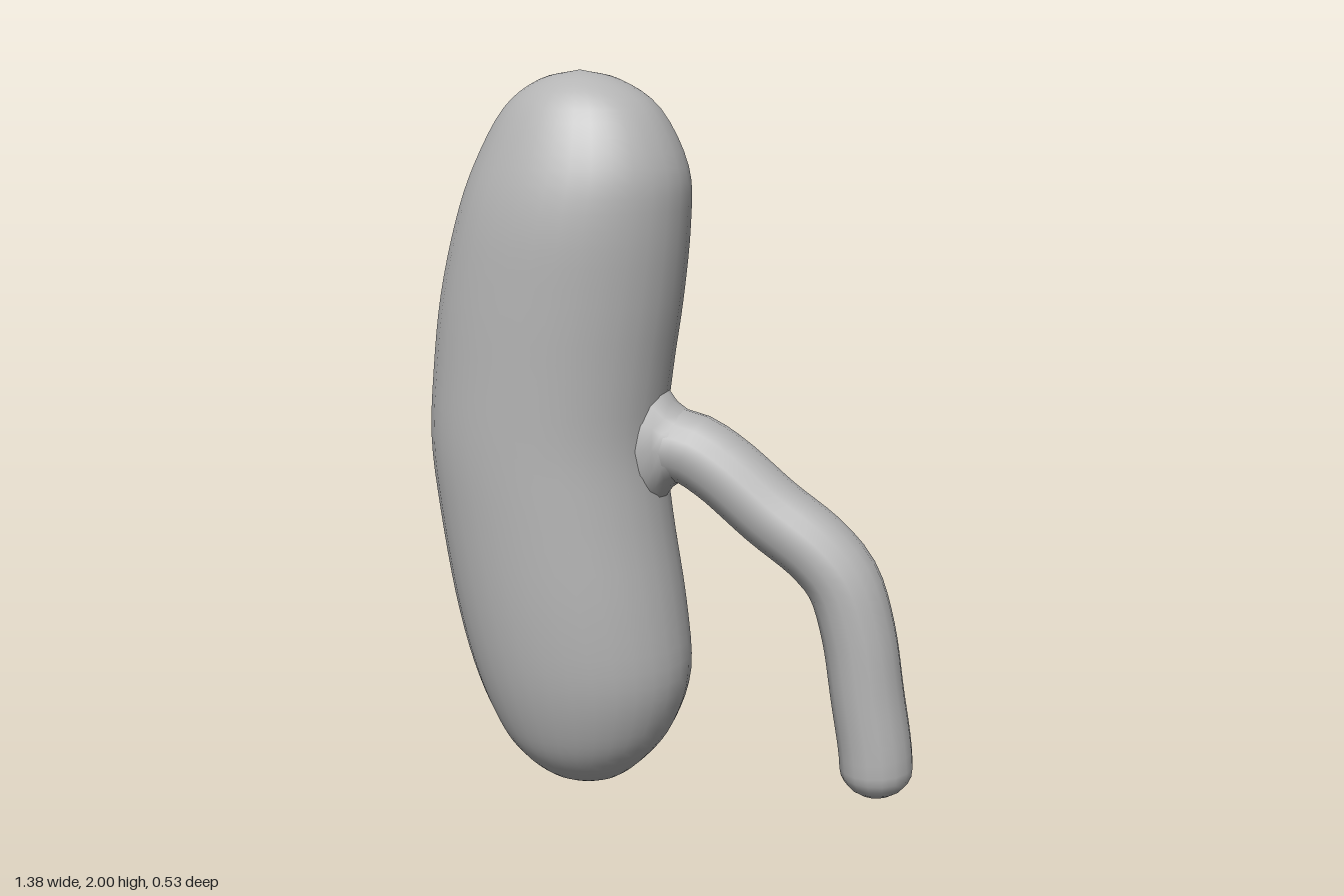
import * as THREE from 'three';
import { mergeVertices } from 'three/addons/utils/BufferGeometryUtils.js';

const tissue = new THREE.MeshStandardMaterial({ color: 0xb4b4b4 });
tissue.name = 'tissueGrey';

// Skin a list of elliptical rings; each ring is { c: centre, u, v: radius vectors }.
// Rings must advance along u x v so the faces point outwards.
function loft(rings, sides) {
  const positions = [];
  const index = [];
  rings.forEach(({ c, u, v }, i) => {
    for (let j = 0; j < sides; j++) {
      const a = (j / sides) * Math.PI * 2;
      const p = c.clone().addScaledVector(u, Math.cos(a)).addScaledVector(v, Math.sin(a));
      positions.push(p.x, p.y, p.z);
      if (i === 0) continue;
      const k = (j + 1) % sides;
      const lo = (i - 1) * sides;
      const hi = i * sides;
      index.push(lo + j, lo + k, hi + j, lo + k, hi + k, hi + j);
    }
  });
  let g = new THREE.BufferGeometry();
  g.setAttribute('position', new THREE.Float32BufferAttribute(positions, 3));
  g.setIndex(index);
  g = mergeVertices(g, 1e-5); // weld the poles
  g.computeVertexNormals();
  return g;
}

function part(name, geometry) {
  const mesh = new THREE.Mesh(geometry, tissue);
  mesh.name = name;
  return mesh;
}

// Bean-shaped body: height, outer edge x, inner edge x, half depth
function bodyGeometry() {
  const sections = [
    [0.0, -0.25, -0.25, 0], [0.025, -0.36, -0.15, 0.085], [0.1, -0.455, -0.06, 0.16],
    [0.2, -0.52, 0.01, 0.208], [0.35, -0.58, 0.055, 0.245], [0.55, -0.63, 0.04, 0.262],
    [0.8, -0.67, 0.0, 0.266], [1.0, -0.69, -0.02, 0.266], [1.2, -0.677, 0.0, 0.265],
    [1.4, -0.65, 0.03, 0.265], [1.6, -0.6, 0.05, 0.26], [1.75, -0.545, 0.045, 0.232],
    [1.9, -0.46, -0.03, 0.168], [1.975, -0.36, -0.14, 0.09], [2.0, -0.25, -0.25, 0],
  ];
  const outline = new THREE.CatmullRomCurve3(
    sections.map(([y, l, r]) => new THREE.Vector3(l, y, r)), false, 'catmullrom');
  const depth = new THREE.CatmullRomCurve3(
    sections.map((s) => new THREE.Vector3(s[3], 0, 0)), false, 'catmullrom');
  const rings = [];
  const steps = 56;
  for (let i = 0; i <= steps; i++) {
    const { x: l, y, z: r } = outline.getPoint(i / steps);
    rings.push({
      c: new THREE.Vector3((l + r) / 2, y, 0),
      u: new THREE.Vector3(0, 0, depth.getPoint(i / steps).x),
      v: new THREE.Vector3((r - l) / 2, 0, 0),
    });
  }
  return loft(rings, 32);
}

// Bent duct with a rounded lower end
function ductGeometry() {
  const path = new THREE.CatmullRomCurve3([
    [-0.08, 1.0], [0.05, 1.0], [0.14, 0.955], [0.29, 0.838], [0.42, 0.745], [0.49, 0.665],
    [0.535, 0.53], [0.565, 0.35], [0.592, 0.18], [0.596, 0.065],
  ].map(([x, y]) => new THREE.Vector3(x, y, 0)));
  const length = path.getLength();
  const cap = 0.085;
  const rings = [];
  const addRing = (t, radius) => {
    const d = path.getTangentAt(t);
    rings.push({
      c: path.getPointAt(t),
      u: new THREE.Vector3(-d.y, d.x, 0).multiplyScalar(radius),
      v: new THREE.Vector3(0, 0, radius * 1.06),
    });
  };
  const capStart = 1 - cap / length;
  for (let i = 0; i <= 32; i++) addRing((i / 32) * capStart, 0.1);
  for (let i = 1; i <= 6; i++) {
    const a = (i / 6) * Math.PI / 2;
    addRing(Math.min(1, capStart + Math.sin(a) * cap / length), i === 6 ? 0 : 0.1 * Math.cos(a));
  }
  return loft(rings, 16);
}

// Small flare where the duct leaves the body
function collarGeometry() {
  const rings = [[-0.06, 0.19, 0.12], [-0.015, 0.155, 0.108], [0.01, 0.12, 0.105], [0.045, 0.095, 0.1]]
    .map(([x, ry, rz]) => ({
      c: new THREE.Vector3(x, 1.005, 0),
      u: new THREE.Vector3(0, ry, 0),
      v: new THREE.Vector3(0, 0, rz),
    }));
  return loft(rings, 16);
}

export function createModel() {
  const group = new THREE.Group();
  group.name = 'beanShapedOrgan';
  group.add(
    part('body', bodyGeometry()),
    part('duct', ductGeometry()),
    part('ductCollar', collarGeometry()),
  );
  return group;
}
